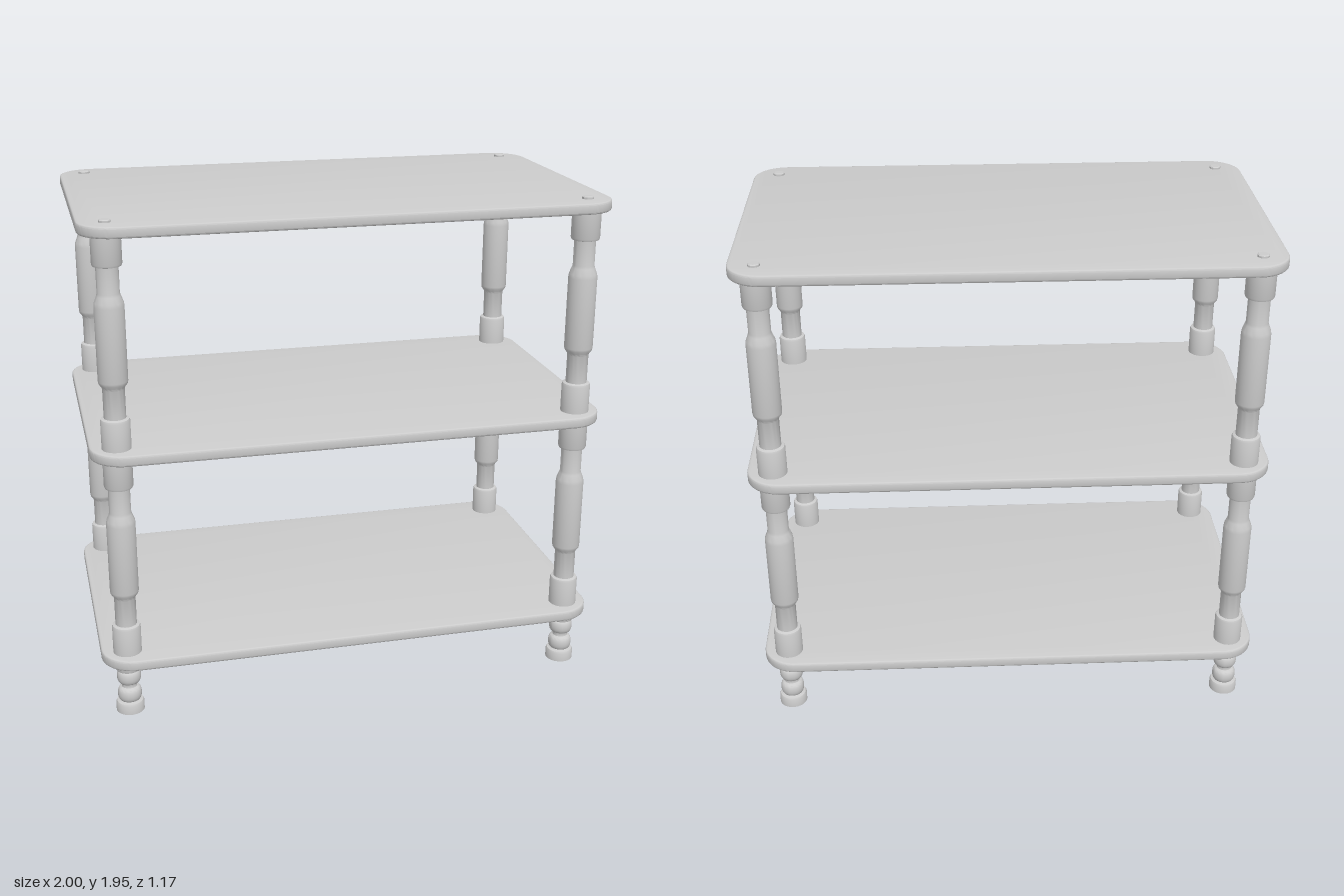
import * as THREE from 'three';
import { toCreasedNormals } from 'three/addons/utils/BufferGeometryUtils.js';

const material = new THREE.MeshStandardMaterial({ color: 0xcccccc });
const HALF_W = 1, HALF_D = 0.585, CORNER = 0.13, THICK = 0.042;
const POST_X = 0.9, POST_Z = 0.485;
const SHELF_Y = [0.215, 1.058, 1.9]; // undersides

function turned(name, points, y) {
  const profile = points.map(([r, h]) => new THREE.Vector2(r, h));
  const mesh = new THREE.Mesh(toCreasedNormals(new THREE.LatheGeometry(profile, 32), 0.6), material);
  mesh.name = name;
  mesh.position.y = y;
  return mesh;
}

// Half-round bead profile between two heights
function bead(y0, y1, rIn, rOut) {
  return Array.from({ length: 9 }, (_, i) => {
    const a = (i / 8) * Math.PI;
    return [rIn + (rOut - rIn) * Math.sin(a), (y0 + y1) / 2 - ((y1 - y0) / 2) * Math.cos(a)];
  });
}

// Rounded rectangular board with softened edges
function shelfGeometry() {
  const b = 0.008, w = HALF_W - b, d = HALF_D - b, r = CORNER - b;
  const s = new THREE.Shape();
  s.absarc(w - r, d - r, r, 0, Math.PI / 2);
  s.absarc(-w + r, d - r, r, Math.PI / 2, Math.PI);
  s.absarc(-w + r, -d + r, r, Math.PI, Math.PI * 1.5);
  s.absarc(w - r, -d + r, r, Math.PI * 1.5, Math.PI * 2);
  const g = new THREE.ExtrudeGeometry(s, {
    depth: THICK - 2 * b, bevelEnabled: true, bevelSize: b, bevelThickness: b,
    bevelSegments: 3, curveSegments: 12,
  });
  g.rotateX(-Math.PI / 2).translate(0, b, 0);
  return toCreasedNormals(g, 0.6);
}

// Turned spindle spanning the gap between two shelves
const SPINDLE = [
  [0, 0], [0.055, 0], [0.055, 0.108], [0.052, 0.116], [0.041, 0.12],
  [0.041, 0.232], [0.044, 0.24], [0.053, 0.252], [0.055, 0.262],
  [0.055, 0.54], [0.053, 0.555], [0.044, 0.578], [0.041, 0.588],
  [0.041, 0.685], [0.052, 0.688], [0.055, 0.696], [0.055, 0.802], [0, 0.802],
];

// Turned foot with two beads and a narrow neck
const FOOT = [
  [0, 0], [0.055, 0], [0.055, 0.034], [0.051, 0.042], [0.04, 0.044],
  ...bead(0.046, 0.1, 0.036, 0.047),
  [0.03, 0.104], [0.028, 0.112], [0.03, 0.12],
  ...bead(0.122, 0.176, 0.036, 0.047),
  [0.04, 0.178], [0.048, 0.18], [0.05, 0.185], [0.05, 0.217], [0, 0.217],
];

// Small peg end showing through the top
const PEG = [[0, 0], [0.022, 0], [0.022, 0.008], [0.018, 0.011], [0, 0.011]];

export function createModel() {
  const model = new THREE.Group();
  model.name = 'shelfUnit';

  const board = shelfGeometry();
  ['bottomShelf', 'middleShelf', 'topShelf'].forEach((name, i) => {
    const shelf = new THREE.Mesh(board, material);
    shelf.name = name;
    shelf.position.y = SHELF_Y[i];
    model.add(shelf);
  });

  const post = new THREE.Group();
  post.add(
    turned('foot', FOOT, 0),
    turned('lowerSpindle', SPINDLE, SHELF_Y[0] + THICK),
    turned('upperSpindle', SPINDLE, SHELF_Y[1] + THICK),
    turned('pegEnd', PEG, SHELF_Y[2] + THICK - 0.001),
  );
  for (const sx of [-1, 1]) for (const sz of [-1, 1]) {
    const p = post.clone();
    p.name = (sz > 0 ? 'front' : 'back') + (sx > 0 ? 'Left' : 'Right') + 'Post';
    p.position.set(sx * POST_X, 0, sz * POST_Z);
    model.add(p);
  }
  return model;
}
